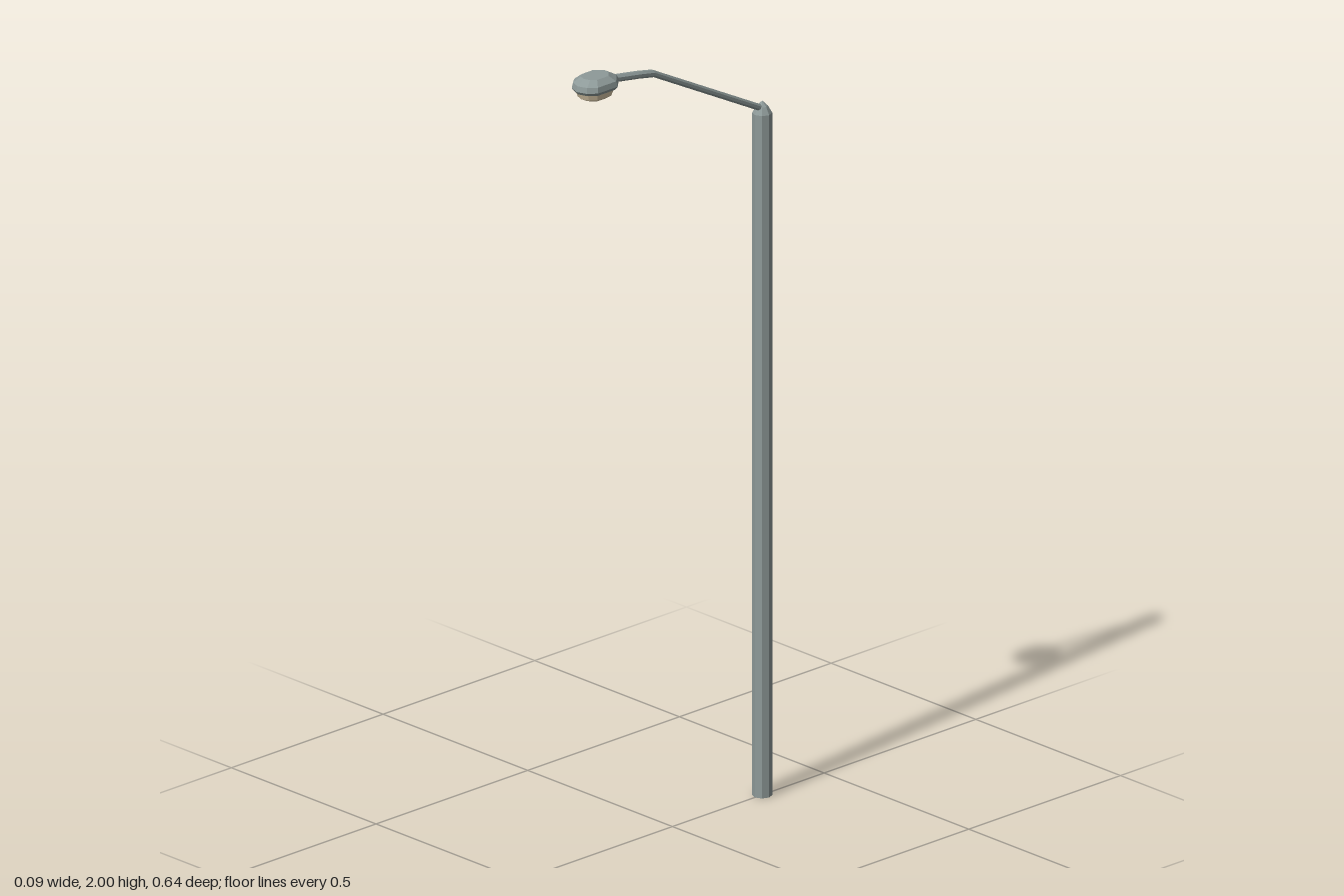
import * as THREE from 'three';

// Skin closed rings of [x, y, z]; rings run counter-clockwise seen from the end they advance to.
function loft(rings) {
  const n = rings[0].length, pos = rings.flat(2), idx = [];
  for (let r = 0; r < rings.length - 1; r++) {
    for (let j = 0; j < n; j++) {
      const a = r * n + j, b = r * n + (j + 1) % n;
      idx.push(a, b, b + n, a, b + n, a + n);
    }
  }
  const last = (rings.length - 1) * n;
  for (let j = 1; j < n - 1; j++) {
    idx.push(0, j + 1, j, last, last + j, last + j + 1);
  }
  const g = new THREE.BufferGeometry();
  g.setAttribute('position', new THREE.Float32BufferAttribute(pos, 3));
  g.setIndex(idx);
  g.computeVertexNormals();
  return g;
}

export function createModel() {
  const group = new THREE.Group();
  const metal = new THREE.MeshStandardMaterial({ color: 0x8e9a99, flatShading: true });
  metal.name = 'grey metal';
  const glass = new THREE.MeshStandardMaterial({ color: 0xdccbaa, flatShading: true });
  glass.name = 'cream glass';
  const add = (name, geometry, material) => {
    const mesh = new THREE.Mesh(geometry, material);
    mesh.name = name;
    group.add(mesh);
    return mesh;
  };

  // Octagonal pole with a rounded point on top
  const profile = [[0, 0], [0.024, 0], [0.024, 1.752], [0.014, 1.77], [0, 1.783]];
  add('pole', new THREE.LatheGeometry(profile.map(p => new THREE.Vector2(...p)), 8), metal)
    .position.z = -0.296;

  // Bent arm: [z, y, half width, half height]
  const stations = [
    [-0.296, 1.763, 0.008, 0.009], [0.065, 1.952, 0.008, 0.009],
    [0.115, 1.962, 0.01, 0.009], [0.215, 1.978, 0.01, 0.009],
  ];
  add('arm', loft(stations.map(([z, y, w, h]) => Array.from({ length: 8 }, (_, i) => {
    const a = (i + 0.5) * Math.PI / 4, k = 1 / Math.cos(Math.PI / 8);
    return [Math.cos(a) * w * k, y + Math.sin(a) * h * k, z];
  }))), metal);

  // Lamp outline seen from above, mirrored in x
  const half = [[0.026, 0.307], [0.043, 0.286], [0.043, 0.221], [0.011, 0.187]];
  const outline = [[0, 0.316], ...half, ...half.slice().reverse().map(([x, z]) => [-x, z])];
  const zc = 0.253;
  const ring = (y, s, back = s) => outline.map(([x, z]) =>
    [x * s, y, zc + (z - zc) * (z < zc ? back : s)]);

  add('lampHousing', loft([
    ring(1.965, 0.9, 0.8), ring(1.973, 1), ring(1.987, 0.95, 0.9), ring(2.0, 0.62, 0.55),
  ]), metal);
  add('lampLens', loft([
    ring(1.942, 0.5, 0.45), ring(1.95, 0.75, 0.65), ring(1.966, 0.86, 0.75),
  ]), glass);

  return group;
}
